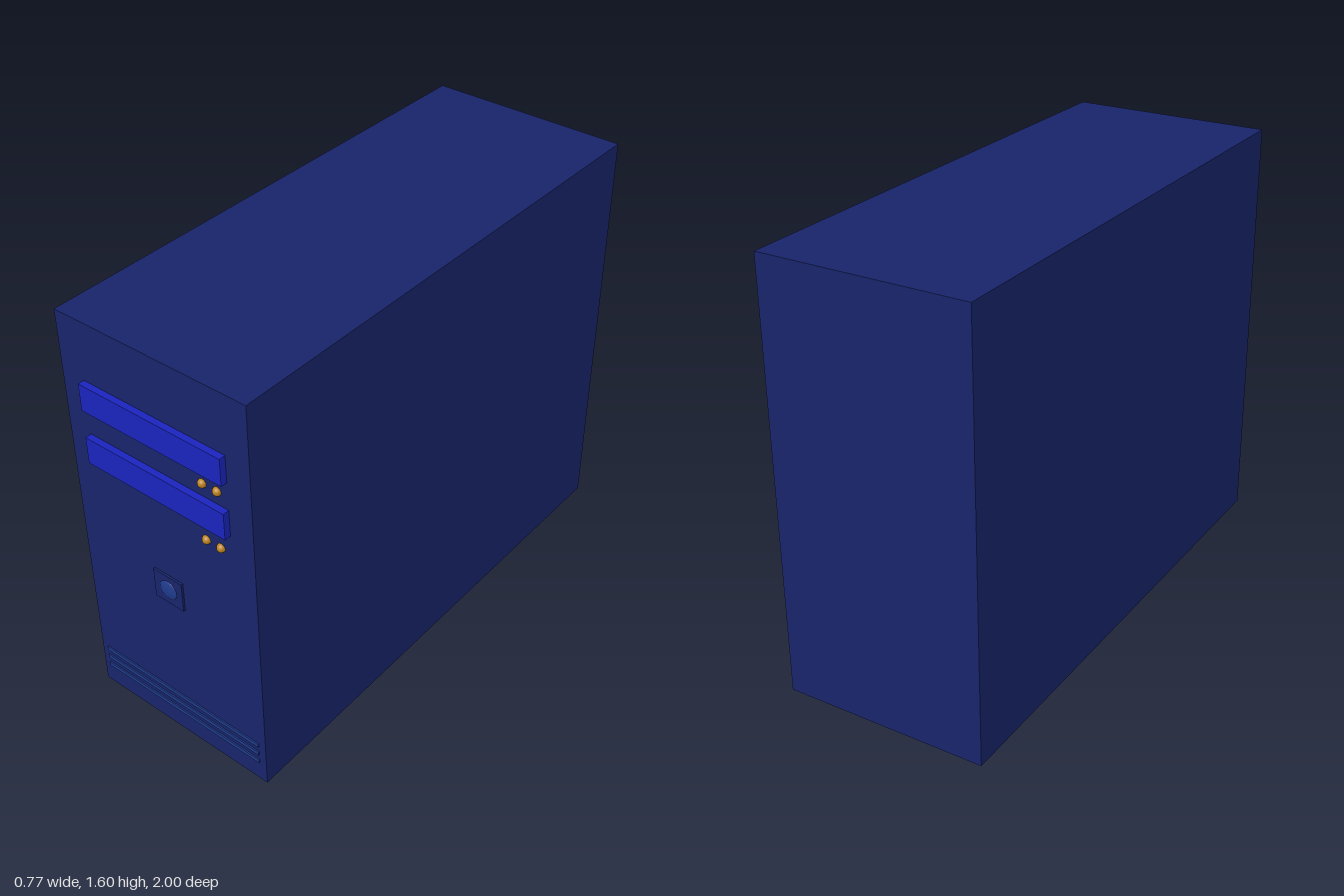
import * as THREE from 'three';

const FRONT = 0.976; // z of the case's front face

export function createModel() {
  const model = new THREE.Group();
  const paint = (color) => new THREE.MeshStandardMaterial({ color });
  const navy = paint(0x18246a), blue = paint(0x1a24bc), steel = paint(0x1e3a8a), amber = paint(0xb8801c);

  const add = (name, geometry, material, x, y, z) => {
    const mesh = new THREE.Mesh(geometry, material);
    mesh.name = name;
    mesh.position.set(x, y, z);
    model.add(mesh);
    return mesh;
  };
  // Box standing proud of the front face, slightly sunk into the case
  const frontBox = (name, w, h, proud, material, y) =>
    add(name, new THREE.BoxGeometry(w, h, proud + 0.01), material, 0, y, FRONT + (proud - 0.01) / 2);

  // Tower case
  add('case', new THREE.BoxGeometry(0.772, 1.6, FRONT + 1), navy, 0, 0.8, (FRONT - 1) / 2);

  // Drive bays, each with a pair of indicator lights below
  [[1.327, 1.222], [1.119, 0.998]].forEach(([bayY, lightY]) => {
    frontBox('driveBay', 0.584, 0.102, 0.024, blue, bayY);
    for (const x of [0.19, 0.25])
      add('indicatorLight', new THREE.SphereGeometry(0.016, 20, 12), amber, x, lightY, FRONT);
  });

  // Power button: square plate with a shallow domed button
  frontBox('buttonPlate', 0.124, 0.118, 0.008, navy, 0.675);
  const button = add('powerButton', new THREE.SphereGeometry(0.038, 32, 16), steel, 0, 0.675, FRONT + 0.006);
  button.scale.z = 0.26;

  // Horizontal vent strips near the base
  for (let i = 0; i < 3; i++) frontBox('ventStrip', 0.714, 0.016, 0.005, steel, 0.092 + i * 0.039);

  return model;
}
